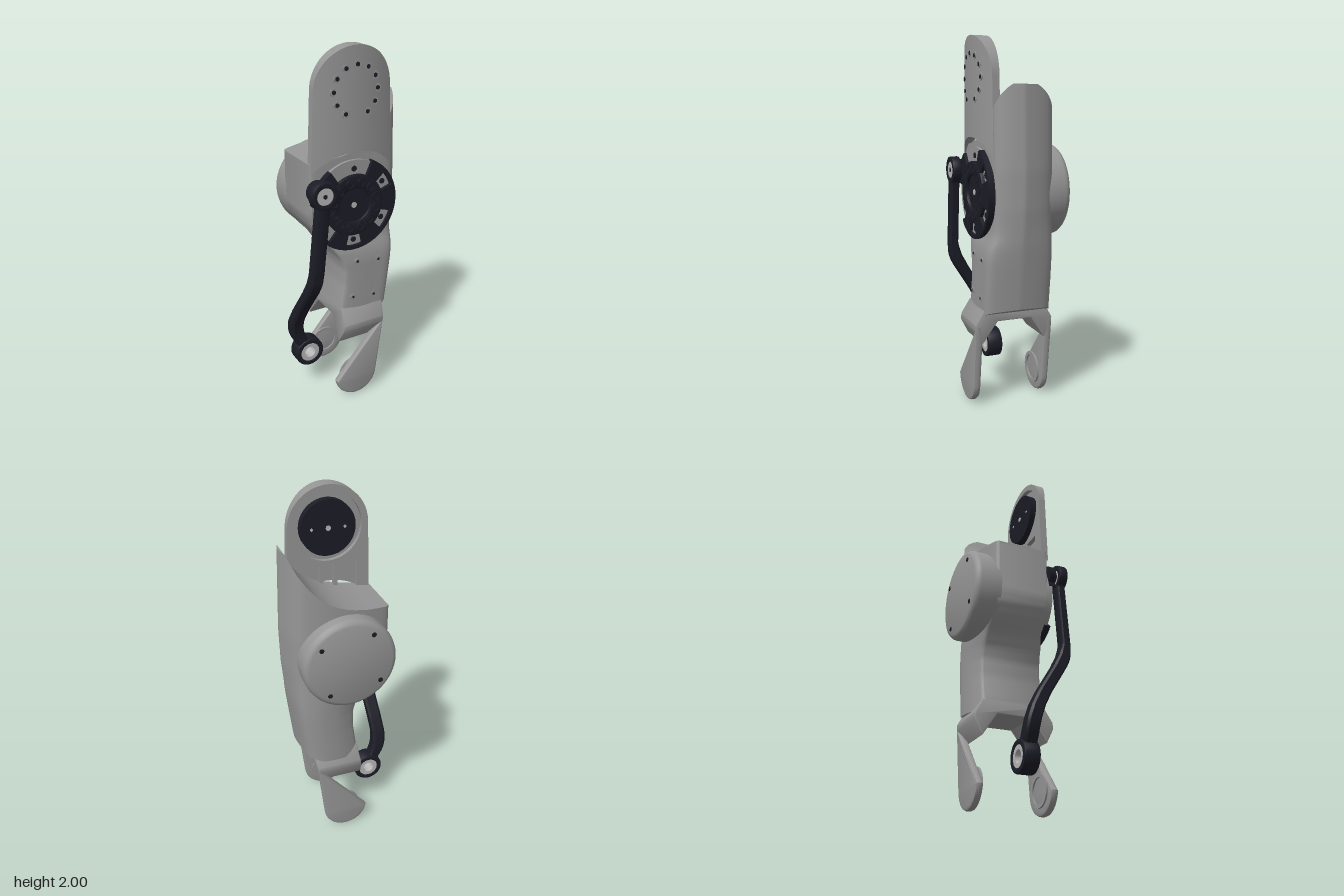
import * as THREE from 'three';
import { toCreasedNormals } from 'three/addons/utils/BufferGeometryUtils.js';

const mat = (name, color, extra = {}) => new THREE.MeshStandardMaterial({ name, color, ...extra });

// Piecewise linear lookup in [[key, value], ...]
function table(rows, k) {
  if (k <= rows[0][0]) return rows[0][1];
  for (let i = 1; i < rows.length; i++) {
    const [a, va] = rows[i - 1], [b, vb] = rows[i];
    if (k <= b) return va + (vb - va) * (k - a) / (b - a);
  }
  return rows[rows.length - 1][1];
}

// Upright loft: front and back section points run left to right as [x, z],
// each column spans bottom(x)..top(x), and warp(x, y, z) returns the final [x, z]
function loft(front, back, bottom, top, warp, rows) {
  const ring = [...front, ...[...back].reverse()], n = ring.length, pos = [], idx = [];
  for (let j = 0; j <= rows; j++) {
    for (const [x, z] of ring) {
      const y = bottom(x) + (top(x) - bottom(x)) * j / rows;
      const [wx, wz] = warp(x, y, z);
      pos.push(wx, y, wz);
    }
  }
  for (let j = 0; j < rows; j++) {
    for (let i = 0; i < n; i++) {
      const a = j * n + i, b = j * n + (i + 1) % n;
      idx.push(a, b, b + n, a, b + n, a + n);
    }
  }
  const t = rows * n;
  for (let i = 0; i < n / 2 - 1; i++) {
    const a = i, b = i + 1, c = n - 2 - i, d = n - 1 - i;
    idx.push(t + a, t + b, t + c, t + a, t + c, t + d, a, c, b, a, d, c);
  }
  const g = new THREE.BufferGeometry();
  g.setAttribute('position', new THREE.Float32BufferAttribute(pos, 3));
  g.setIndex(idx);
  return toCreasedNormals(g, 0.6);
}

const spline = (pts, n) => new THREE.SplineCurve(pts.map(p => new THREE.Vector2(...p)))
  .getPoints(n).map(p => [p.x, p.y]);

// Flat shape extruded from z0 to z1, with an optional chamfer kept inside the outline
function slab(shape, z0, z1, bevel = 0) {
  const g = new THREE.ExtrudeGeometry(shape, {
    depth: z1 - z0 - 2 * bevel, bevelEnabled: bevel > 0, bevelSize: bevel, bevelThickness: bevel,
    bevelOffset: -bevel, bevelSegments: 2, curveSegments: 24,
  });
  return toCreasedNormals(g.translate(0, 0, z0 + bevel), 0.6);
}

// Ring sector in the xy plane, angles in degrees
function sector(cx, cy, r0, r1, a0, a1) {
  const s = new THREE.Shape(), d = Math.PI / 180;
  if (a1 - a0 >= 360) {
    s.absarc(cx, cy, r1, 0, Math.PI * 2);
    s.holes.push(new THREE.Path().absarc(cx, cy, r0, 0, Math.PI * 2, true));
  } else {
    s.absarc(cx, cy, r1, a0 * d, a1 * d);
    s.absarc(cx, cy, r0, a1 * d, a0 * d, true);
  }
  return s;
}

export function createModel() {
  const model = new THREE.Group();
  model.name = 'robotLeg';
  const grey = mat('shellGrey', 0x969696);
  const dark = mat('darkMetal', 0x1c1c27);
  const light = mat('bearingSteel', 0xb8b8b8);

  const add = (name, geo, m) => {
    const mesh = new THREE.Mesh(geo, m);
    mesh.name = name;
    model.add(mesh);
    return mesh;
  };
  const disc = (name, m, x, y, z0, z1, r, seg = 40) =>
    add(name, new THREE.CylinderGeometry(r, r, z1 - z0, seg).rotateX(Math.PI / 2)
      .translate(x, y, (z0 + z1) / 2), m);

  // Main shell: bulged right side, narrowing to the knee, swooping top edge
  const X0 = -0.24, W = 0.555;
  const left = [[0.5, -0.08], [0.7, -0.052], [0.8, -0.052], [0.86, -0.07], [0.93, -0.115],
    [1.0, -0.18], [1.06, -0.222], [1.12, -0.24], [1.4, -0.24]];
  const right = [[0.5, 0.245], [0.56, 0.25], [0.9, 0.292], [1.1, 0.31], [1.3, 0.315], [1.74, 0.302]];
  const topEdge = [[-0.24, 1.42], [-0.1, 1.435], [0, 1.455], [0.08, 1.485], [0.15, 1.53],
    [0.21, 1.59], [0.26, 1.66], [0.3, 1.74]];
  const frontSec = spline([[0, 0.15], [0.05, 0.163], [0.3, 0.17], [0.6, 0.17], [0.8, 0.168],
    [0.9, 0.152], [0.96, 0.1], [1, 0.025]], 28);
  const backSec = spline([[0, -0.135], [0.05, -0.155], [0.3, -0.185], [0.6, -0.192], [0.8, -0.175],
    [0.9, -0.145], [0.96, -0.08], [1, 0.015]], 28);
  const frontGain = [[0.84, 1.2], [0.9, 1.15], [0.96, 1.02], [1, 1]];
  add('mainShell', loft(frontSec, backSec,
    u => table([[0, 0.5], [0.7, 0.515], [1, 0.56]], u),
    u => table(topEdge, X0 + u * W),
    (u, y, z) => {
      const l = table(left, y), r = table(right, y);
      return [l + u * (r - l), z > 0 ? z * table(frontGain, y) : z];
    }, 44), grey);

  // Upper mounting plate: domed front, round top, circular cut around the rotor
  const HY = 1.78, R = 0.22;
  const xs = Array.from({ length: 41 }, (_, i) => -R * Math.cos(Math.PI * i / 40));
  const dome = x => 0.21 - 0.9 * x * x;
  add('upperPlate', loft(xs.map(x => [x, dome(x)]), xs.map(x => [x, 0.152]),
    x => 1.18 + Math.sqrt(0.29 ** 2 - x * x),
    x => HY + Math.sqrt(Math.max(0, R * R - x * x)),
    (x, y, z) => [x * (1 + 0.18 * Math.max(0, HY - y)), z], 12), grey);

  // Rim on the back of the plate, with a round pocket and a channel
  const rim = new THREE.Shape();
  rim.moveTo(-0.235, 1.38);
  rim.lineTo(0.235, 1.38);
  rim.absarc(0, HY, R, 0, Math.PI);
  rim.closePath();
  rim.holes.push(new THREE.Path().absarc(0, HY, 0.185, 0, Math.PI * 2, true));
  for (const [a, b] of [[-0.16, -0.05], [-0.03, 0.03], [0.05, 0.16]]) {
    rim.holes.push(new THREE.Path([[a, 1.4], [a, 1.57], [b, 1.57], [b, 1.4]]
      .map(p => new THREE.Vector2(...p))));
  }
  add('plateRim', slab(rim, 0.127, 0.154), grey);
  disc('hipDisc', dark, 0.005, HY, 0.11, 0.153, 0.15, 48);
  disc('hipDiscBore', light, 0.005, HY, 0.107, 0.112, 0.014, 16);
  for (const s of [-1, 1]) disc('hipDiscPin', light, 0.005 + s * 0.09, HY, 0.107, 0.112, 0.008, 12);

  // Bolt circle on the plate, open at the bottom
  for (let i = 1; i < 12; i++) {
    const a = -Math.PI / 2 + i * Math.PI / 6;
    const x = 0.003 + 0.125 * Math.cos(a), y = HY + 0.128 * Math.sin(a), z = dome(x);
    disc('plateBoltSeat', grey, x, y, z - 0.02, z + 0.002, 0.02, 20);
    disc('plateBolt', dark, x, y, z - 0.02, z + 0.004, 0.012, 6);
  }

  // Rear motor cap with a rounded edge
  const cap = [[0.255, 0], [0.255, 0.115], [0.251, 0.131], [0.24, 0.144], [0.225, 0.15], [0, 0.15]];
  add('motorCap', toCreasedNormals(new THREE.LatheGeometry(cap.map(p => new THREE.Vector2(...p)), 64)
    .rotateX(-Math.PI / 2).translate(0.008, 1.175, -0.12), 0.5), grey);
  for (let i = 0; i < 4; i++) {
    const a = Math.PI * (0.2 + i / 2);
    disc('capScrew', dark, 0.008 + 0.2 * Math.cos(a), 1.175 + 0.2 * Math.sin(a), -0.273, -0.268, 0.013, 16);
  }

  // Front rotor: grey base, dark rim and sectors, bored hub
  const RX = 0.003, RY = 1.172;
  disc('rotorBase', grey, RX, RY, 0.15, 0.185, 0.246, 64);
  add('rotorRim', slab(sector(RX, RY, 0.232, 0.255, -135, 66), 0.165, 0.2), dark);
  for (const [a, b] of [[-130, -103], [-78, -45], [-18, 20], [42, 66], [125, 172]])
    add('rotorSector', slab(sector(RX, RY, 0.15, 0.25, a, b), 0.165, 0.203), dark);
  add('rotorHub', slab(sector(RX, RY, 0.095, 0.17, 0, 360), 0.165, 0.205, 0.005), dark);
  disc('rotorCore', dark, RX, RY, 0.165, 0.19, 0.1);
  disc('rotorBore', light, RX, RY, 0.185, 0.193, 0.016, 20);
  for (let i = 0; i < 12; i++) {
    const a = i * Math.PI / 6 + 0.26;
    add('hubSocket', new THREE.TorusGeometry(0.021, 0.003, 6, 20)
      .translate(RX + 0.128 * Math.cos(a), RY + 0.128 * Math.sin(a), 0.205), dark);
  }
  for (const deg of [-148, -90, -31, 31, 90]) {
    const a = deg * Math.PI / 180;
    disc('rotorBolt', dark, RX + 0.2 * Math.cos(a), RY + 0.2 * Math.sin(a), 0.18, 0.19, 0.015, 16);
  }

  // Crank lug and pivot
  disc('crankLug', dark, -0.205, 1.28, 0.165, 0.2, 0.06);
  disc('crankPin', dark, -0.205, 1.28, 0.2, 0.22, 0.035);

  // Push rod: chamfered bar swept outward and back toward the knee
  const rodX = [[0.24, -0.205], [0.3, -0.238], [0.35, -0.264], [0.4, -0.278], [0.46, -0.283],
    [0.9, -0.243], [1.28, -0.205]];
  const rodZ = [[0.36, 0.022], [0.42, 0.03], [0.48, 0.05], [0.56, 0.092], [0.65, 0.15],
    [0.72, 0.195], [0.78, 0.225], [0.85, 0.24]];
  add('pushRod', loft(
    [[-0.038, 0.025], [-0.026, 0.037], [0.026, 0.037], [0.038, 0.025]],
    [[-0.038, -0.025], [-0.026, -0.037], [0.026, -0.037], [0.038, -0.025]],
    () => 0.24 + 0.055, () => 1.28 - 0.045,
    (x, y, z) => [x + table(rodX, y), z * table([[0.75, 1], [0.85, 0.66]], y) + table(rodZ, y)], 40), dark);
  add('rodUpperEye', slab(sector(-0.205, 1.28, 0.045, 0.076, 0, 360), 0.215, 0.266, 0.007), dark);
  disc('rodUpperBearing', light, -0.205, 1.28, 0.217, 0.262, 0.046);
  disc('rodUpperBolt', dark, -0.205, 1.28, 0.26, 0.265, 0.013, 6);
  add('rodLowerEye', slab(sector(-0.205, 0.24, 0.056, 0.086, 0, 360), -0.022, 0.066, 0.008), dark);
  add('rodLowerBearing', slab(sector(-0.205, 0.24, 0.034, 0.058, 0, 360), -0.018, 0.062), light);

  // Knee fork: two round-ended prongs with pivot pads
  const prong = new THREE.Shape();
  prong.moveTo(-0.085, 0.462);
  prong.absarc(0.005, 0.13, 0.13, Math.PI - 0.03 + 0.15, 2 * Math.PI - 0.1);
  prong.lineTo(0.175, 0.462);
  prong.closePath();
  add('frontProng', slab(prong, 0.205, 0.248, 0.014), grey);
  add('backProng', slab(prong, -0.2, -0.16, 0.014), grey);
  add('frontPivotRing', slab(sector(0.005, 0.13, 0.07, 0.09, 0, 360), 0.196, 0.207), grey);
  add('backPivotRing', slab(sector(0.005, 0.13, 0.07, 0.09, 0, 360), -0.162, -0.15), grey);

  // Arch joining the prongs, leaning with them
  const arch = new THREE.Shape([[0.248, 0.44], [0.248, 0.475], [0.2, 0.56], [-0.15, 0.56], [-0.2, 0.475],
    [-0.2, 0.44], [-0.16, 0.36], [-0.07, 0.485], [0.12, 0.485], [0.205, 0.36]]
    .map(p => new THREE.Vector2(...p)));
  const archGeo = slab(arch, -0.13, 0.13, 0.008).rotateY(-Math.PI / 2);
  const p = archGeo.attributes.position;
  for (let i = 0; i < p.count; i++) p.setX(i, p.getX(i) + 0.005 + (p.getY(i) - 0.13) * 0.12);
  add('kneeArch', archGeo, grey);

  // Shell screws
  for (const [x, y] of [[0.022, 0.84], [0.155, 0.825], [-0.003, 0.625], [0.13, 0.61]]) {
    disc('shellScrewSeat', grey, x, y, 0.19, 0.206, 0.018, 20);
    disc('shellScrew', dark, x, y, 0.19, 0.208, 0.008, 6);
  }
  return model;
}
